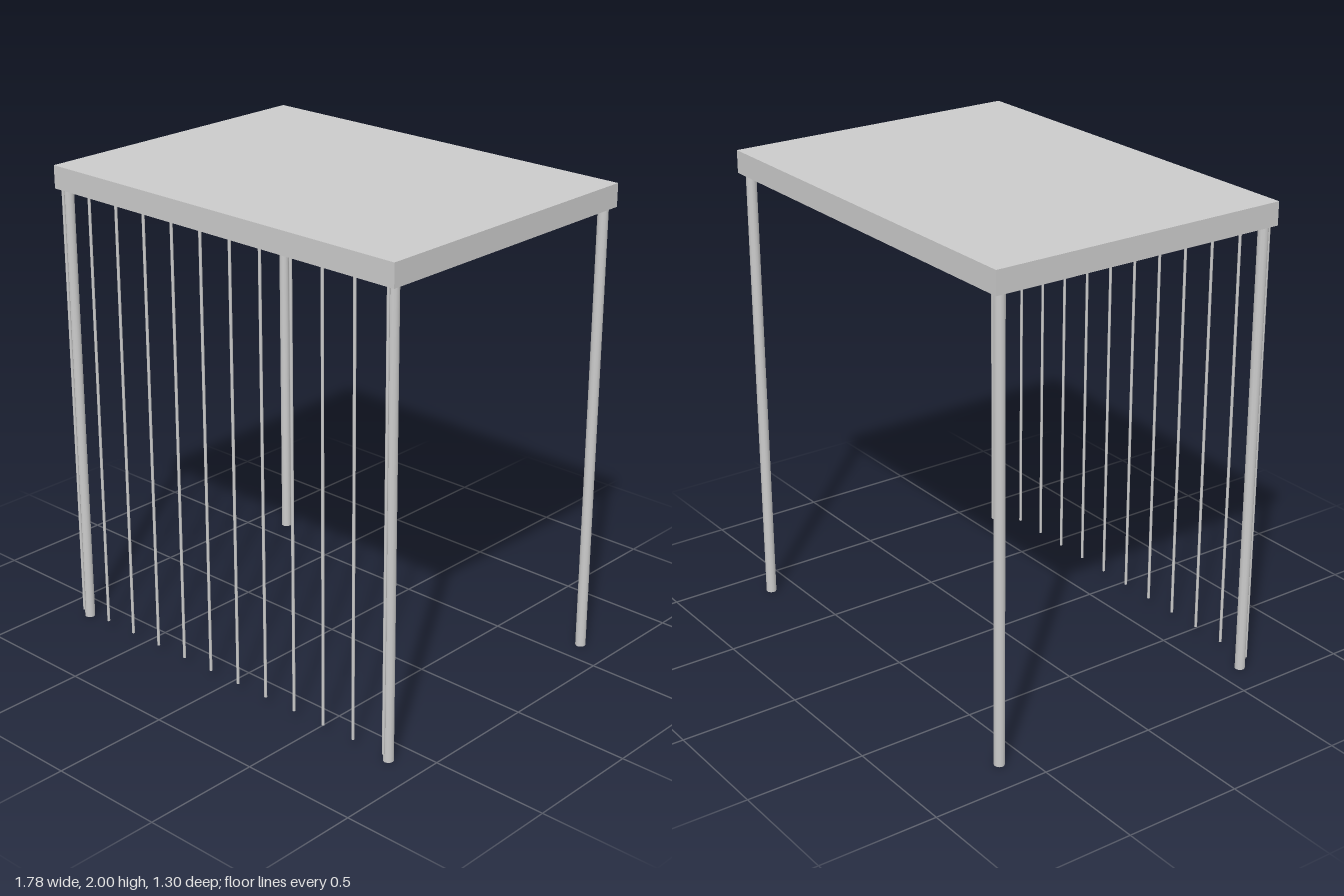
import * as THREE from 'three';

export function createModel() {
  const model = new THREE.Group();
  model.name = 'canopy';
  const material = new THREE.MeshStandardMaterial({ color: 0xcccccc });

  const add = (name, geometry, x, y, z) => {
    const mesh = new THREE.Mesh(geometry, material);
    mesh.name = name;
    mesh.position.set(x, y, z);
    model.add(mesh);
  };

  const roofBottom = 1.905;
  const postX = 0.853;

  // Flat roof slab
  const roofHeight = 2 - roofBottom;
  add('roof', new THREE.BoxGeometry(1.776, roofHeight, 1.3), 0, roofBottom + roofHeight / 2, 0);

  // Four corner posts
  const postGeometry = new THREE.CylinderGeometry(0.0215, 0.0215, roofBottom, 12);
  for (const [sx, xName] of [[1, 'Left'], [-1, 'Right']]) {
    for (const [sz, zName] of [[1, 'front'], [-1, 'back']]) {
      add(`${zName}${xName}Post`, postGeometry, sx * postX, roofBottom / 2, sz * 0.61);
    }
  }

  // Row of thin rods hanging along the front edge, just in front of the posts
  const rodCount = 12;
  const rodBottom = 0.04;
  const rodLength = roofBottom - rodBottom;
  const rodGeometry = new THREE.CylinderGeometry(0.006, 0.006, rodLength, 8);
  for (let i = 0; i < rodCount; i++) {
    const x = THREE.MathUtils.lerp(-postX, postX, i / (rodCount - 1));
    add(`hangingRod${i + 1}`, rodGeometry, x, rodBottom + rodLength / 2, 0.639);
  }

  return model;
}
